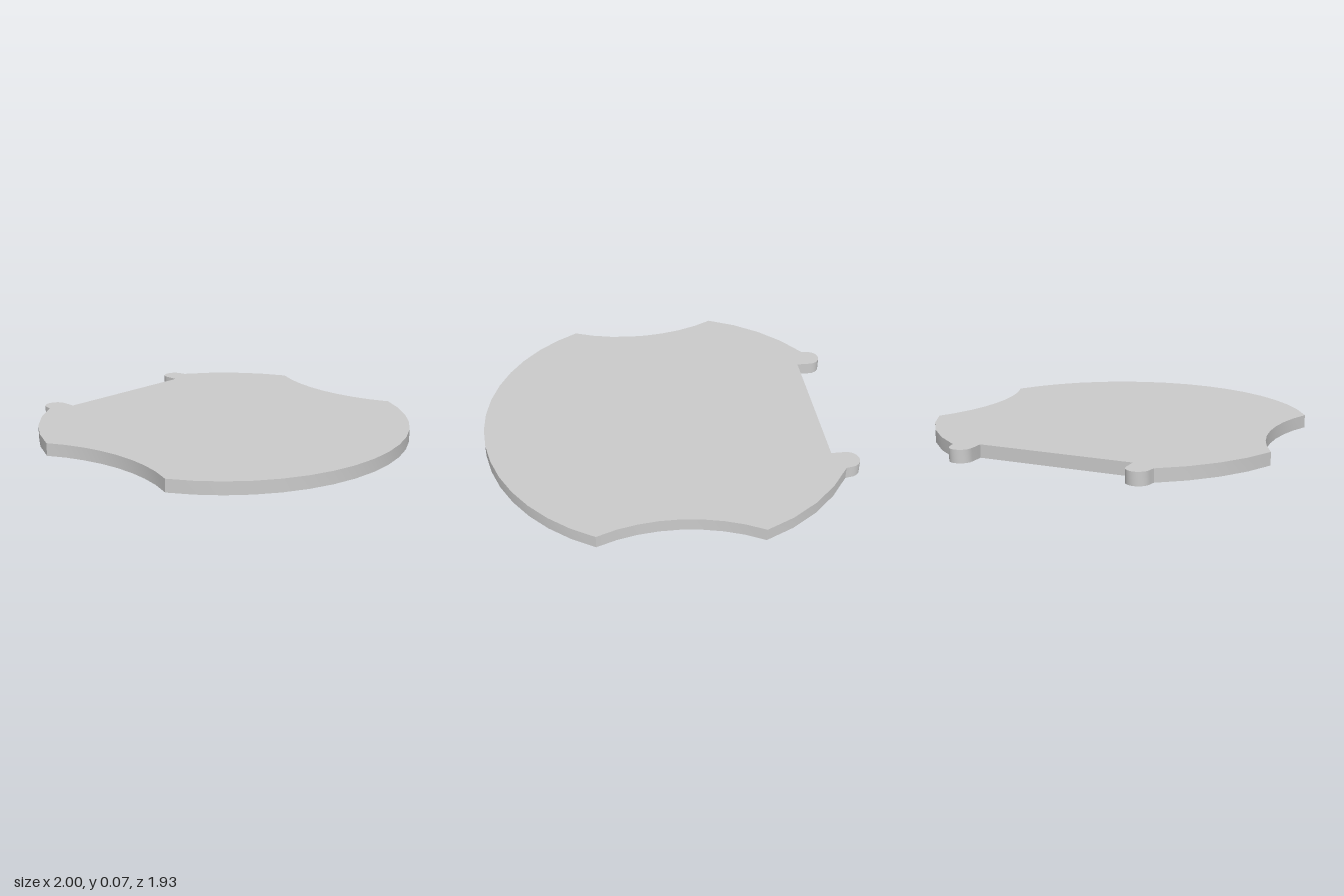
import * as THREE from 'three';
import { toCreasedNormals } from 'three/addons/utils/BufferGeometryUtils.js';

const HEIGHT = 0.07;

// Points along an arc, angles in degrees
function arc(cx, cy, r, from, to, segments) {
  return Array.from({ length: segments + 1 }, (_, i) => {
    const a = THREE.MathUtils.degToRad(from + ((to - from) * i) / segments);
    return new THREE.Vector2(cx + r * Math.cos(a), cy + r * Math.sin(a));
  });
}

export function createModel() {
  const group = new THREE.Group();
  group.name = 'scallopedPlate';

  // Half of the outline, from the round end to the straight edge
  const half = [
    ...arc(-0.036, 0, 1.034, 0, 62.5, 8), // large round end
    ...arc(0.068, 1.8, 0.96, -67.3, -119.5, 8).slice(1, -1), // concave scoop
    ...arc(-0.036, 0, 1.034, 110.9, 147.8, 4), // short round shoulder
    ...arc(-0.9375, 0.483, 0.0625, 90, 270, 12), // rounded tab end
    new THREE.Vector2(-0.86, 0.4205), // inner corner of the tab
  ];
  const mirrored = half.slice(1).reverse().map((p) => new THREE.Vector2(p.x, -p.y));

  // Flat plate with both halves of the outline
  const extruded = new THREE.ExtrudeGeometry(new THREE.Shape([...half, ...mirrored]), {
    depth: HEIGHT,
    bevelEnabled: false,
  });
  extruded.rotateX(-Math.PI / 2);

  const plate = new THREE.Mesh(
    toCreasedNormals(extruded, Math.PI / 6),
    new THREE.MeshStandardMaterial({ color: 0xcccccc })
  );
  plate.name = 'plate';
  group.add(plate);
  return group;
}
